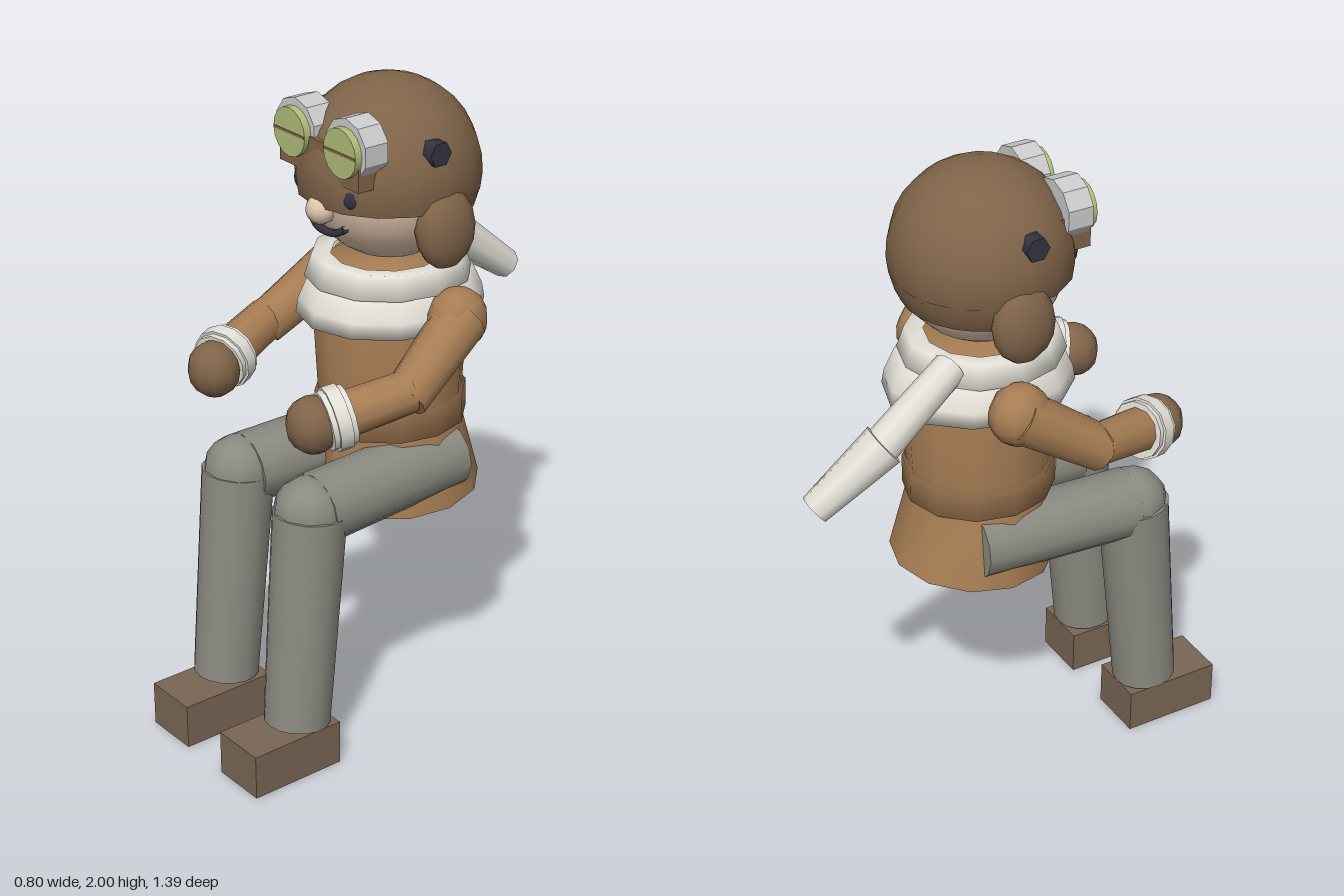
import * as THREE from 'three';

const mat = (color) => new THREE.MeshStandardMaterial({ color, side: THREE.DoubleSide });
const helmetMat = mat(0x806449), jacketMat = mat(0xa67d54), trouserMat = mat(0x8b8a81);
const bootMat = mat(0x796654), scarfMat = mat(0xe2dfd6), skinMat = mat(0xe0c6ae);
const darkMat = mat(0x33343f), lensMat = mat(0xb0bd78), metalMat = mat(0xcccccc);
metalMat.flatShading = true;
const V = (x, y, z) => new THREE.Vector3(x, y, z);
const UP = V(0, 1, 0);

export function createModel() {
  const model = new THREE.Group();

  const add = (name, geo, material, x = 0, y = 0, z = 0, parent = model) => {
    const mesh = new THREE.Mesh(geo, material);
    mesh.name = name;
    mesh.position.set(x, y, z);
    parent.add(mesh);
    return mesh;
  };
  const box = (name, material, size, pos, parent) =>
    add(name, new THREE.BoxGeometry(...size), material, ...pos, parent);
  const ball = (name, material, radii, pos, parent, w = 12, h = 8) => {
    const mesh = add(name, new THREE.SphereGeometry(1, w, h), material, ...pos, parent);
    mesh.scale.set(...radii);
    return mesh;
  };
  // Tapered cylinder running from point a to point b
  const limb = (name, material, a, b, ra, rb, parent, sides = 12) => {
    const dir = b.clone().sub(a);
    const mid = a.clone().add(b).multiplyScalar(0.5);
    const mesh = add(name, new THREE.CylinderGeometry(rb, ra, dir.length(), sides), material, mid.x, mid.y, mid.z, parent);
    mesh.quaternion.setFromUnitVectors(UP, dir.normalize());
    return mesh;
  };
  // Lathe from [radius, y] pairs, squashed in x and shifted in z
  const turned = (name, material, profile, sides, sx, z) => {
    const mesh = add(name, new THREE.LatheGeometry(profile.map(([r, y]) => new THREE.Vector2(r, y)), sides), material, 0, 0, z);
    mesh.scale.x = sx;
    return mesh;
  };

  // Torso, belt and buckle
  turned('torso', jacketMat, [[0, 0.92], [0.215, 0.92], [0.222, 1.05], [0.235, 1.3], [0.2, 1.44], [0, 1.45]], 12, 0.95, -0.02);
  turned('belt', mat(0x8d6a48), [[0.2, 0.945], [0.232, 0.945], [0.232, 1.035], [0.2, 1.035]], 12, 0.95, -0.02);
  box('buckle', metalMat, [0.11, 0.09, 0.03], [0, 0.99, 0.205]);
  const pleat = add('jacketPleat', new THREE.CylinderGeometry(0.005, 0.025, 0.15, 4), jacketMat, 0, 1.105, 0.195);
  pleat.scale.z = 0.7;

  // Jacket skirt flaring out backwards beneath the belt
  const skirt = new THREE.CylinderGeometry(0.215, 0.25, 0.24, 12, 1);
  const p = skirt.attributes.position;
  for (let i = 0; i < p.count; i++) {
    if (p.getY(i) < 0) {
      const z = p.getZ(i);
      p.setXYZ(i, p.getX(i), -0.115 - z * 0.07, z - 0.025);
    }
  }
  skirt.computeVertexNormals();
  add('jacketSkirt', skirt, jacketMat, 0, 0.825, -0.02);

  // Scarf: flared lower wrap, narrower upper wrap, two-piece tail blowing back
  turned('scarfLowerWrap', scarfMat, [[0.22, 1.3], [0.29, 1.295], [0.282, 1.34], [0.25, 1.41], [0.2, 1.41]], 12, 0.9, -0.02);
  turned('scarfUpperWrap', scarfMat, [[0.2, 1.4], [0.25, 1.405], [0.226, 1.475], [0.17, 1.47]], 12, 0.97, -0.01);
  limb('scarfTailInner', scarfMat, V(-0.12, 1.45, -0.18), V(-0.23, 1.325, -0.475), 0.05, 0.055, model, 10);
  limb('scarfTailOuter', scarfMat, V(-0.235, 1.345, -0.455), V(-0.213, 1.185, -0.665), 0.068, 0.047, model, 8);

  // Head
  const head = new THREE.Group();
  head.name = 'head';
  model.add(head);
  ball('face', skinMat, [0.258, 0.262, 0.255], [0, 1.725, -0.015], head, 20, 14);
  add('helmetDome', new THREE.SphereGeometry(0.272, 16, 9, 0, Math.PI * 2, 0, 1.8), helmetMat, 0, 1.73, -0.01, head);
  add('helmetNape', new THREE.SphereGeometry(0.272, 10, 2, Math.PI * 1.12, Math.PI * 0.76, 1.75, 0.34), helmetMat, 0, 1.73, -0.01, head);
  ball('nose', skinMat, [0.045, 0.045, 0.045], [0, 1.655, 0.233], head);

  // Mouth as a shallow smile
  const smile = new THREE.CatmullRomCurve3([
    V(-0.08, 1.61, 0.208), V(-0.045, 1.59, 0.215), V(0, 1.585, 0.218), V(0.045, 1.59, 0.215), V(0.08, 1.61, 0.208)]);
  add('mouth', new THREE.TubeGeometry(smile, 10, 0.012, 6), darkMat, 0, 0, 0, head);

  // Goggles mounting between the two rings
  box('goggleMount', helmetMat, [0.36, 0.105, 0.1], [0, 1.807, 0.19], head);

  for (const s of [1, -1]) {
    const side = s > 0 ? 'left' : 'right';

    ball(side + 'Eye', darkMat, [0.037, 0.042, 0.03], [s * 0.105, 1.715, 0.208], head);
    const flap = ball(side + 'EarFlap', helmetMat, [0.062, 0.12, 0.1], [s * 0.247, 1.612, -0.017], head, 12, 8);
    flap.rotation.z = s * 0.08;
    const knob = add(side + 'StrapKnob', new THREE.CylinderGeometry(0.038, 0.038, 0.06, 6), darkMat, s * 0.238, 1.842, 0.017, head);
    knob.rotation.z = Math.PI / 2;

    // Goggle ring and lens
    const ring = add(side + 'GoggleRing', new THREE.CylinderGeometry(0.092, 0.092, 0.08, 10), metalMat, s * 0.115, 1.863, 0.193, head);
    const lens = add(side + 'GoggleLens', new THREE.CylinderGeometry(0.073, 0.073, 0.035, 16), lensMat, s * 0.115, 1.857, 0.238, head);
    ring.rotation.x = lens.rotation.x = Math.PI / 2;
    // Bar across the lens
    box(side + 'LensBar', helmetMat, [0.14, 0.008, 0.008], [s * 0.115, 1.857, 0.253], head);

    // Arm reaching forward
    const arm = new THREE.Group();
    arm.name = side + 'Arm';
    model.add(arm);
    ball('shoulder', jacketMat, [0.085, 0.095, 0.095], [s * 0.275, 1.335, -0.042], arm, 10, 7);
    limb('upperArm', jacketMat, V(s * 0.285, 1.34, -0.05), V(s * 0.335, 1.175, 0.2), 0.08, 0.068, arm, 10);
    limb('forearm', jacketMat, V(s * 0.337, 1.195, 0.18), V(s * 0.265, 1.148, 0.4), 0.064, 0.07, arm, 10);
    const cuffDir = V(-s * 0.32, -0.17, 0.93).normalize();
    const cuff = V(s * 0.265, 1.148, 0.39);
    const at = (d) => cuff.clone().addScaledVector(cuffDir, d);
    limb('cuffCore', scarfMat, at(-0.036), at(0.036), 0.088, 0.088, arm, 12);
    limb('cuffBulge', scarfMat, at(-0.02), at(0.02), 0.096, 0.096, arm, 12);
    ball('hand', helmetMat, [0.083, 0.085, 0.078], [s * 0.238, 1.135, 0.452], arm, 10, 8);

    // Seated leg with bent knee and block boot
    const leg = new THREE.Group();
    leg.name = side + 'Leg';
    model.add(leg);
    limb('thigh', trouserMat, V(s * 0.15, 0.835, -0.12), V(s * 0.168, 0.82, 0.4), 0.106, 0.11, leg, 12);
    ball('knee', trouserMat, [0.107, 0.107, 0.107], [s * 0.172, 0.823, 0.42], leg, 10, 8);
    limb('shin', trouserMat, V(s * 0.18, 0.152, 0.482), V(s * 0.175, 0.825, 0.42), 0.1, 0.11, leg, 16);
    box('boot', bootMat, [0.177, 0.14, 0.31], [s * 0.174, 0.07, 0.54], leg);
  }
  return model;
}
